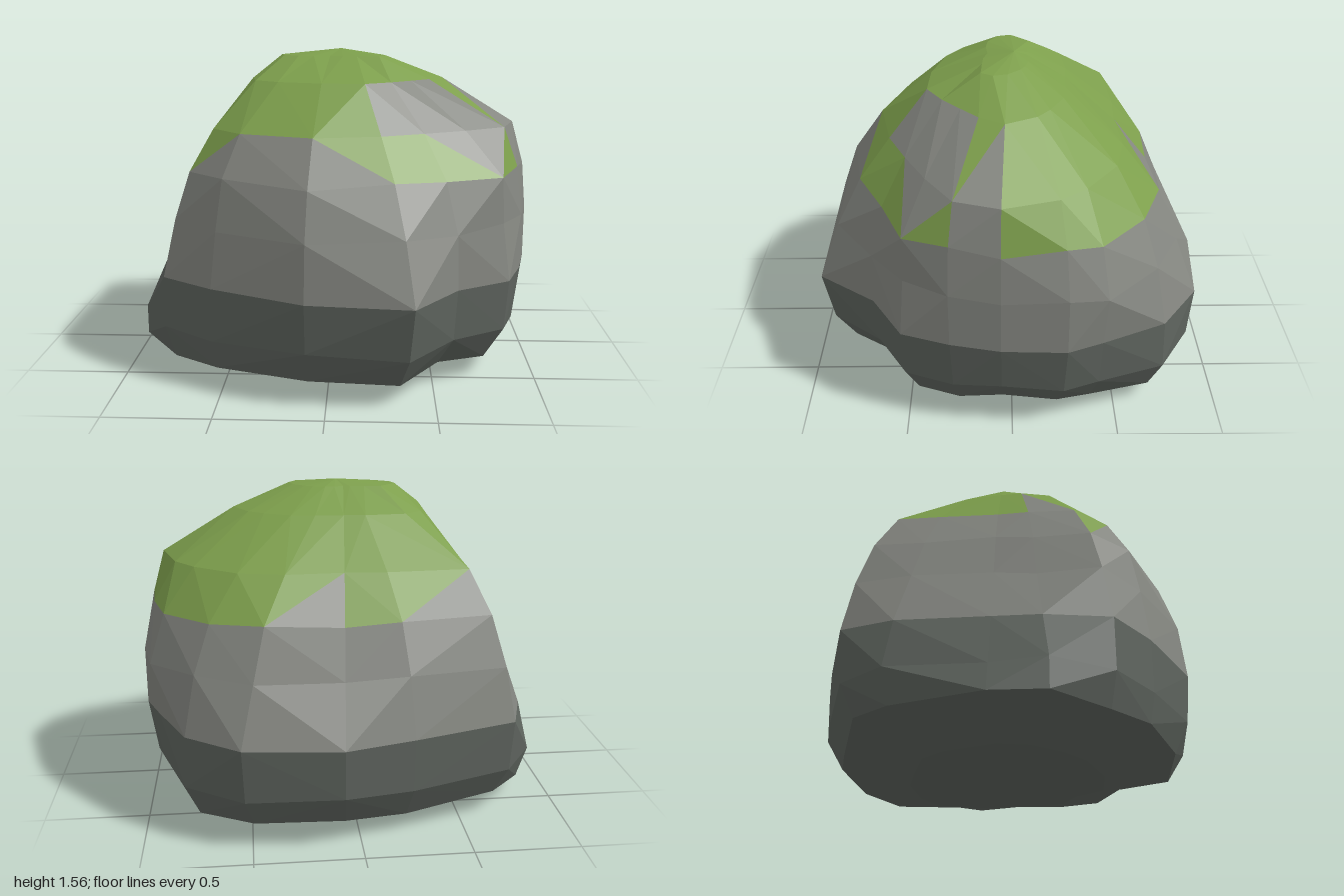
import * as THREE from 'three';

const BASE_BANDS = 3; // bands below this one are the darker foot of the rock

// Directions of the rock's ridges in degrees, from +x round through +z
const angles = [3, 17, 31, 48, 67.5, 96, 128, 147, 166, 181, 208, 223, 254, 275, 301, 318, 336, 346];
const SIDES = angles.length;

// Ring heights, and the radius of each ring along every ridge
const heights = [0.01, 0.1, 0.25, 0.5, 0.77, 1.0, 1.2, 1.42, 1.53];
const radii = [
  [0.84, 0.87, 0.88, 0.78, 0.88, 0.82, 0.85, 0.9, 0.98, 1.0, 0.95, 0.92, 0.8, 0.85, 0.95, 1.0, 0.92, 0.88],
  [0.95, 0.95, 0.98, 0.88, 0.98, 0.89, 0.88, 0.95, 0.98, 0.94, 1.0, 1.0, 0.88, 0.94, 1.03, 1.08, 1.0, 0.99],
  [0.99, 0.98, 1.0, 0.9, 1.03, 0.91, 0.88, 0.95, 0.87, 0.84, 0.94, 1.02, 0.89, 0.95, 1.05, 1.07, 1.02, 1.03],
  [0.99, 0.98, 0.96, 0.89, 0.92, 0.88, 0.84, 0.88, 0.76, 0.73, 0.83, 0.96, 0.82, 0.79, 0.93, 1.0, 1.05, 1.03],
  [0.97, 0.95, 0.95, 0.81, 0.79, 0.8, 0.79, 0.8, 0.69, 0.65, 0.74, 0.87, 0.72, 0.69, 0.82, 0.9, 0.97, 0.97],
  [0.91, 0.88, 0.75, 0.66, 0.63, 0.65, 0.67, 0.67, 0.58, 0.55, 0.62, 0.74, 0.55, 0.52, 0.62, 0.72, 0.81, 0.86],
  [0.55, 0.5, 0.45, 0.43, 0.43, 0.39, 0.41, 0.44, 0.41, 0.39, 0.41, 0.38, 0.29, 0.27, 0.31, 0.37, 0.44, 0.49],
  [0.25, 0.28, 0.27, 0.18, 0.14, 0.11, 0.15, 0.2, 0.25, 0.26, 0.2, 0.13, 0.09, 0.08, 0.1, 0.13, 0.17, 0.2],
];
// The flat sole repeats the lowest outline, drawn in
radii.unshift(radii[0].map((r) => r * 0.58));

// Moss per facet pair of a band: 1 = lower triangle, 2 = upper triangle, 3 = both
const mossBands = {
  5: '011320200002323333',
  6: '200033323333333333',
  7: '333333333333333333',
};

// Corner of a ring, with a little unevenness in height
function corner(ring, side) {
  const i = side % SIDES;
  const a = THREE.MathUtils.degToRad(angles[i]);
  const uneven = [1, 2, 4, 5].includes(ring) ? 0.012 * Math.sin(i * 2.4 + ring) : 0;
  const r = radii[ring][i];
  return new THREE.Vector3(r * Math.cos(a), heights[ring] + uneven, r * Math.sin(a));
}

// Split a quad into [lower, upper] triangles along the diagonal that bulges outward
function splitQuad(a, b, c, d) {
  const facet = new THREE.Plane().setFromCoplanarPoints(a, d, c);
  return facet.distanceToPoint(b) > 0 ? [[a, d, b], [b, d, c]] : [[a, c, b], [a, d, c]];
}

function facetMesh(name, triangles, color) {
  const geometry = new THREE.BufferGeometry().setFromPoints(triangles.flat());
  geometry.computeVertexNormals();
  const mesh = new THREE.Mesh(geometry, new THREE.MeshStandardMaterial({ color, flatShading: true }));
  mesh.name = name;
  return mesh;
}

export function createModel() {
  const base = [];
  const rock = [];
  const moss = [];
  const last = radii.length - 1;
  const bottom = new THREE.Vector3(0, 0, 0);
  const peak = new THREE.Vector3(0.04, 1.56, -0.02);

  for (let i = 0; i < SIDES; i++) {
    // Underside and mossy crown
    base.push([bottom, corner(0, i), corner(0, i + 1)]);
    moss.push([peak, corner(last, i + 1), corner(last, i)]);

    // Flanks, sorted into dark foot, bare stone and moss
    for (let k = 0; k < last; k++) {
      const cover = Number(mossBands[k]?.[i] ?? 0);
      const stone = k < BASE_BANDS ? base : rock;
      const [lower, upper] = splitQuad(corner(k, i), corner(k, i + 1), corner(k + 1, i + 1), corner(k + 1, i));
      (cover & 1 ? moss : stone).push(lower);
      (cover & 2 ? moss : stone).push(upper);
    }
  }

  const group = new THREE.Group();
  group.name = 'mossyBoulder';
  group.add(
    facetMesh('darkFoot', base, 0x5f655f),
    facetMesh('stone', rock, 0x868882),
    facetMesh('moss', moss, 0x7d9f4c),
  );
  return group;
}
